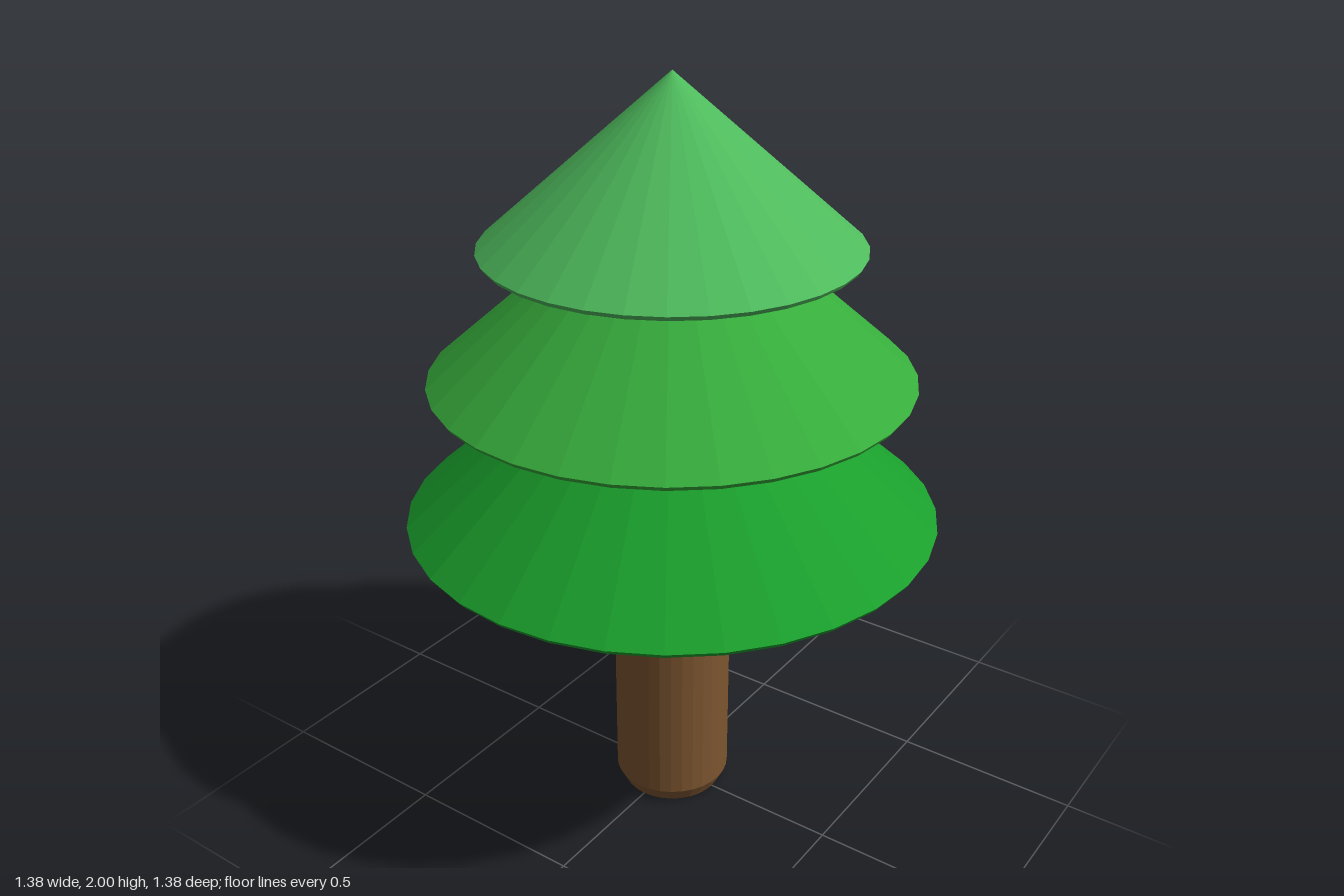
import * as THREE from 'three';

const SIDES = 32;

// Faceted solid of revolution from [radius, height] pairs, listed bottom to top
function turned(name, color, profile) {
  const points = profile.map(([r, y]) => new THREE.Vector2(r, y));
  const mesh = new THREE.Mesh(
    new THREE.LatheGeometry(points, SIDES),
    new THREE.MeshStandardMaterial({ color, flatShading: true })
  );
  mesh.name = name;
  return mesh;
}

// Cone of foliage with a flat underside and a thin bevelled rim
function foliage(name, color, radius, base, apex) {
  return turned(name, color, [
    [0, base],
    [radius - 0.008, base],
    [radius, base + 0.012],
    [0, apex],
  ]);
}

export function createModel() {
  const tree = new THREE.Group();
  tree.name = 'tree';

  // Trunk with a chamfered foot, its top sunk into the lowest tier
  tree.add(turned('trunk', 0x7d5530, [
    [0, 0], [0.137, 0], [0.157, 0.04], [0.157, 0.9], [0, 0.9],
  ]));

  // Three overlapping tiers, lighter towards the top
  tree.add(
    foliage('lowerFoliage', 0x1a9f2c, 0.69, 0.853, 1.48),
    foliage('middleFoliage', 0x37ad3c, 0.615, 1.234, 1.79),
    foliage('upperFoliage', 0x4eba5c, 0.475, 1.57, 2)
  );
  return tree;
}
